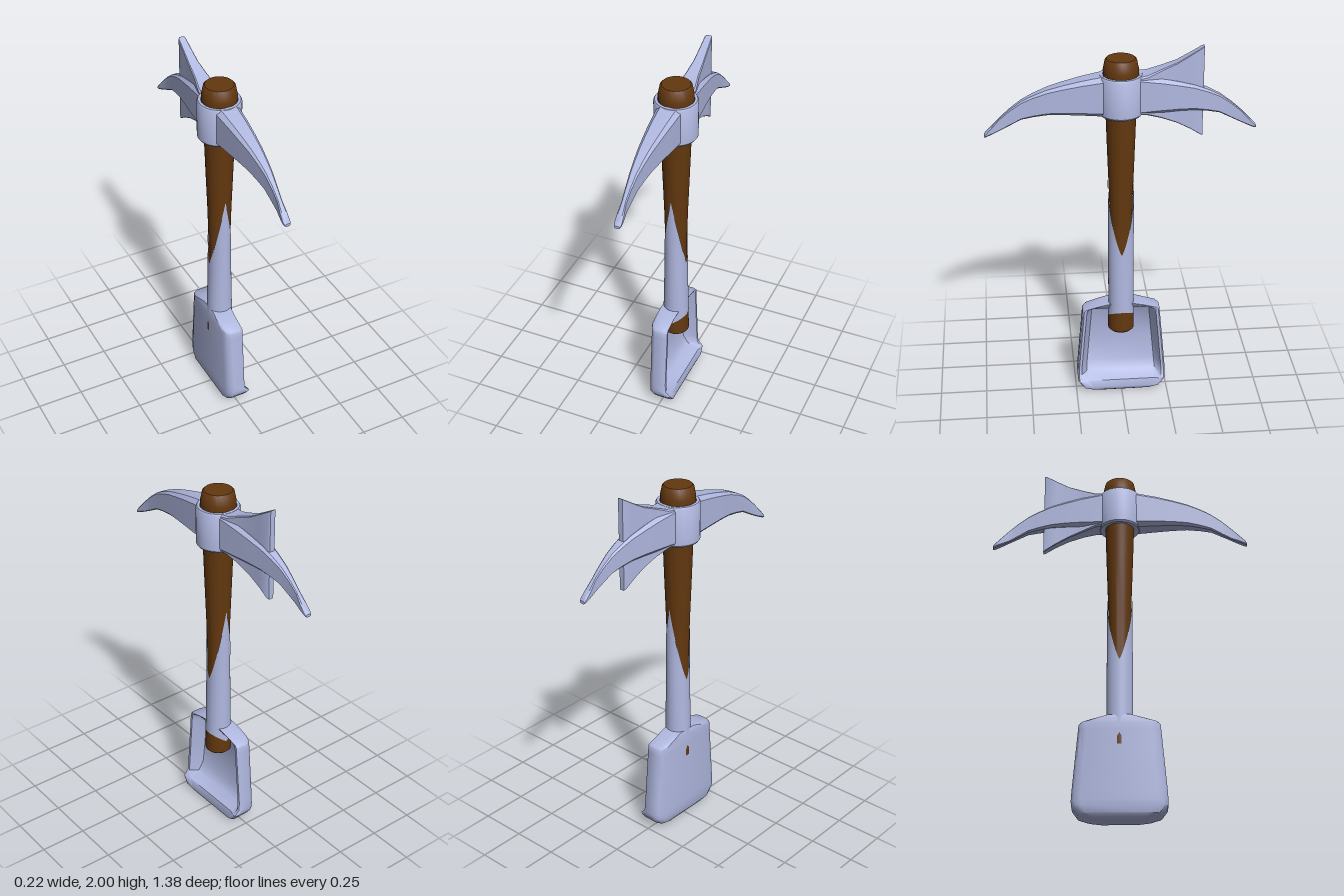
import * as THREE from 'three';
import { toCreasedNormals } from 'three/addons/utils/BufferGeometryUtils.js';

const steel = new THREE.MeshStandardMaterial({ color: 0xb0b8e0 });
const wood = new THREE.MeshStandardMaterial({ color: 0x63380f });

// Skin closed cross-sections (arrays of [x, y, z]) and fan-cap both ends.
function loft(rings, crease = 0.6) {
  const n = rings[0].length, pos = rings.flat(2), idx = [];
  for (let i = 0; i < rings.length - 1; i++) {
    for (let j = 0; j < n; j++) {
      const a = i * n + j, b = i * n + (j + 1) % n;
      idx.push(a, b, a + n, b, b + n, a + n);
    }
  }
  [0, rings.length - 1].forEach((r, end) => {
    const c = pos.length / 3;
    for (let k = 0; k < 3; k++) pos.push(rings[r].reduce((s, p) => s + p[k], 0) / n);
    for (let j = 0; j < n; j++) {
      const a = r * n + j, b = r * n + (j + 1) % n;
      if (end) idx.push(a, b, c); else idx.push(b, a, c);
    }
  });
  // Turn the faces outward if the signed volume is negative.
  const v = i => new THREE.Vector3().fromArray(pos, i * 3);
  let volume = 0;
  for (let i = 0; i < idx.length; i += 3) volume += v(idx[i]).dot(v(idx[i + 1]).cross(v(idx[i + 2])));
  if (volume < 0) idx.reverse();
  const g = new THREE.BufferGeometry();
  g.setAttribute('position', new THREE.Float32BufferAttribute(pos, 3));
  g.setIndex(idx);
  return toCreasedNormals(g, crease);
}

// Upright bevelled section at depth z.
function slab([z, top, bottom, w], bevel) {
  const c = w * bevel;
  return [
    [w - c, top, z], [w, top - c, z], [w, bottom + c, z], [w - c, bottom, z],
    [c - w, bottom, z], [-w, bottom + c, z], [-w, top - c, z], [c - w, top, z],
  ];
}

const lathe = (points, crease) =>
  toCreasedNormals(new THREE.LatheGeometry(points.map(p => new THREE.Vector2(...p)), 40), crease);

// Handle radius, narrowest at mid height.
const handleProfile = [[0.07, 0.39], [0.07, 0.43], [0.066, 0.52], [0.06, 0.75], [0.056, 0.95],
  [0.062, 1.2], [0.071, 1.45], [0.078, 1.66], [0.086, 1.8], [0.09, 1.87], [0.09, 1.89], [0.08, 1.94]];
function handleRadius(y) {
  const i = Math.max(1, handleProfile.findIndex(p => p[1] >= y));
  const [r0, y0] = handleProfile[i - 1], [r1, y1] = handleProfile[i];
  return THREE.MathUtils.mapLinear(y, y0, y1, r0, r1);
}

// Socket sleeve with a tall tongue at front and back, dipping at the sides.
function socketGeometry() {
  const around = 64, up = 16, pos = [], idx = [];
  for (let i = 0; i <= up; i++) {
    for (let j = 0; j < around; j++) {
      const t = j / around * Math.PI * 2;
      const c = Math.cos(t), s = Math.sin(t);
      const q = Math.asin(Math.min(1, Math.abs(s))) / (Math.PI / 2);
      const y = THREE.MathUtils.lerp(0.46 + 0.05 * Math.abs(c), 0.86 + 0.42 * q ** 1.25, i / up);
      const r = handleRadius(y) + 0.003;
      pos.push(c * r, y, s * Math.max(r, 0.068));
      if (i < up) {
        const a = i * around + j, b = i * around + (j + 1) % around;
        idx.push(a, a + around, b, b, a + around, b + around);
      }
    }
  }
  const g = new THREE.BufferGeometry();
  g.setAttribute('position', new THREE.Float32BufferAttribute(pos, 3));
  g.setIndex(idx);
  g.computeVertexNormals();
  return g;
}

// Shovel section: flat back, raised side rims and a sunken floor facing +x.
function shovelSection([y, w, back, rim, floor]) {
  const half = [[back, w * 0.8], [back + 0.012, w * 0.94], [back + 0.035, w], [rim - 0.015, w],
    [rim, w - 0.008], [rim, w - 0.022], [floor, w - 0.055]];
  const other = half.map(([x, z]) => [x, -z]).reverse();
  return [...half, [floor, 0], ...other].map(([x, z]) => [x, y, z]);
}

export function createModel() {
  const model = new THREE.Group();
  const add = (name, geometry, material) => {
    const mesh = new THREE.Mesh(geometry, material);
    mesh.name = name;
    model.add(mesh);
  };

  // Wooden handle with bevelled ends
  add('handle', lathe([[0, 0.38], [0.06, 0.38], ...handleProfile, [0.072, 1.948], [0, 1.948]], 0.7), wood);

  // Steel ring holding the head
  add('collar', lathe([[0.074, 1.66], [0.105, 1.652], [0.112, 1.662], [0.112, 1.855],
    [0.106, 1.865], [0.092, 1.865], [0.086, 1.84]], 0.6), steel);

  // Two curved pick arms: depth, top, bottom, half thickness
  const arm = [[0.09, 1.866, 1.655, 0.064], [0.2, 1.845, 1.662, 0.055], [0.29, 1.823, 1.666, 0.046],
    [0.37, 1.8, 1.666, 0.037], [0.44, 1.771, 1.656, 0.029], [0.5, 1.74, 1.643, 0.022],
    [0.56, 1.695, 1.611, 0.016], [0.61, 1.65, 1.585, 0.013], [0.65, 1.608, 1.566, 0.018],
    [0.68, 1.577, 1.553, 0.019], [0.69, 1.565, 1.55, 0.014]];
  for (const [name, side] of [['frontPick', 1], ['backPick', -1]]) {
    add(name, loft(arm.map(([z, t, b, w]) => slab([z * side, t, b, w], 0.35))), steel);
  }

  // Flared axe blade
  const axe = [[-0.08, 1.862, 1.66, 0.062], [-0.13, 1.866, 1.655, 0.052], [-0.2, 1.892, 1.632, 0.037],
    [-0.28, 1.922, 1.6, 0.028], [-0.35, 1.962, 1.562, 0.023], [-0.405, 1.995, 1.526, 0.02],
    [-0.415, 2, 1.52, 0.014]];
  add('axeBlade', loft(axe.map(s => slab(s, 0.15)), 0.5), steel);

  // Shovel socket and blade: height, half width, back, rim, floor
  const socket = steel.clone();
  socket.side = THREE.DoubleSide;
  add('shovelSocket', socketGeometry(), socket);
  const shovel = [[0, 0.1, -0.035, 0.045, 0.045], [0.012, 0.16, -0.055, 0.06, 0.06],
    [0.03, 0.21, -0.067, 0.068, 0.066], [0.07, 0.24, -0.069, 0.066, 0.055], [0.1, 0.243, -0.069, 0.038, -0.005],
    [0.15, 0.24, -0.069, 0.035, -0.035], [0.3, 0.227, -0.069, 0.035, -0.04], [0.47, 0.212, -0.069, 0.035, -0.038],
    [0.505, 0.209, -0.069, 0.035, -0.015], [0.515, 0.2, -0.069, 0.034, 0.02],
    [0.535, 0.13, -0.068, 0.035, 0.03], [0.55, 0.072, -0.064, 0.04, 0.04]];
  add('shovelBlade', loft(shovel.map(shovelSection), 0.7), steel);

  return model;
}
